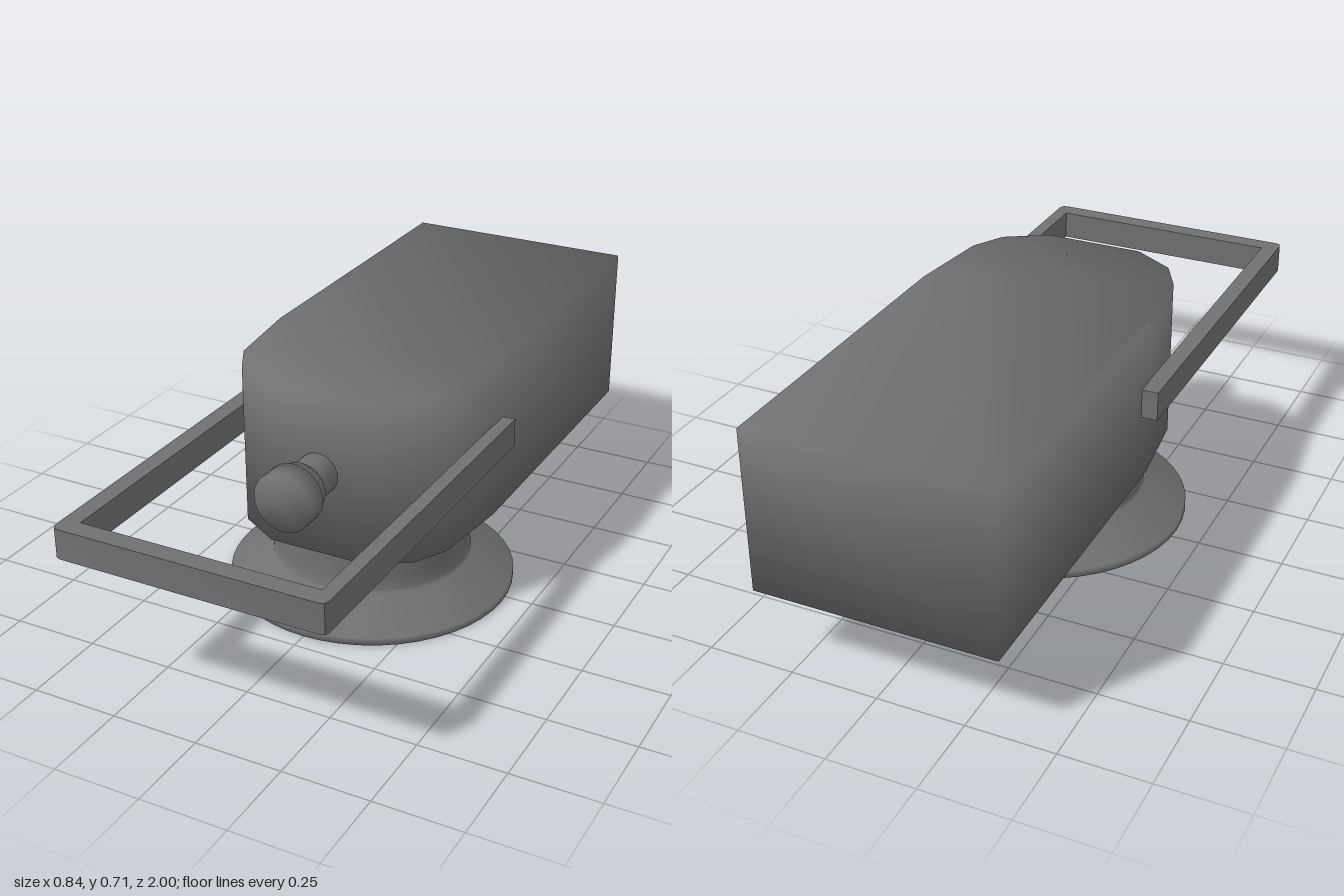
import * as THREE from 'three';
import { mergeVertices, toCreasedNormals } from 'three/addons/utils/BufferGeometryUtils.js';

const grey = new THREE.MeshStandardMaterial({ color: 0x707070 });
const tan = new THREE.MeshStandardMaterial({ color: 0xf0e0cc });

// Extrudes a plan outline given as [x, z] points upward from y to y + height.
function extrudePlan(points, y, height) {
  const shape = new THREE.Shape(points.map(([x, z]) => new THREE.Vector2(x, -z)));
  const geo = new THREE.ExtrudeGeometry(shape, { depth: height, bevelEnabled: false });
  return geo.rotateX(-Math.PI / 2).translate(0, y, 0);
}

// Shares every vertex so the shading flows over all edges.
function smooth(geo) {
  geo.deleteAttribute('uv');
  geo.deleteAttribute('normal');
  const merged = mergeVertices(geo, 1e-4);
  merged.computeVertexNormals();
  return merged;
}

// Points each shared normal away from the middle, for even shading all round.
function radialNormals(geo, midY) {
  const { position, normal } = geo.attributes;
  const n = new THREE.Vector3();
  for (let i = 0; i < position.count; i++) {
    n.set(position.getX(i) * 2.2, Math.sign(position.getY(i) - midY), 0);
    n.z = position.getZ(i) * (position.getZ(i) < 0 ? 0.7 : 2.2);
    n.normalize();
    normal.setXYZ(i, n.x, n.y, n.z);
  }
  return geo;
}

export function createModel() {
  const model = new THREE.Group();
  const add = (name, geo, material = grey) => {
    const mesh = new THREE.Mesh(geo, material);
    mesh.name = name;
    model.add(mesh);
    return mesh;
  };

  // Housing: square at the back, faceted round at the front
  const side = [[0.347, -1], [0.347, -0.05], [0.317, 0.2], [0.265, 0.295], [0.145, 0.367]];
  const mirrored = side.map(([x, z]) => [-x, z]).reverse();
  add('housing', radialNormals(smooth(extrudePlan([...side, ...mirrored], 0.23, 0.476)), 0.468));

  // Bail handle: U-shaped strap with slightly rounded front corners
  const c = 0.018;
  add('handle', toCreasedNormals(extrudePlan([
    [-0.394, -0.1], [-0.394, 1 - c], [-0.389, 0.995], [-0.394 + c, 1],
    [0.384 - c, 1], [0.379, 0.995], [0.384, 1 - c], [0.384, -0.1],
    [0.345, -0.1], [0.345, 0.945], [-0.345, 0.945], [-0.345, -0.1],
  ], 0.435, 0.086), 0.5));

  // Pedestal: flared foot, hollow cone underneath with a recess for the screw
  const profile = [
    [0, 0.12], [0.095, 0.12], [0.095, 0.095], [0.39, 0.012], [0.405, 0], [0.418, 0.001],
    [0.418, 0.023], [0.292, 0.088], [0.29, 0.102], [0.281, 0.125], [0.281, 0.22], [0.281, 0.232], [0, 0.232],
  ].map(([r, y]) => new THREE.Vector2(r, y));
  const base = add('pedestal', new THREE.LatheGeometry(profile, 48));
  base.position.z = 0.033;

  // Screw head inside the foot
  const screw = add('screwHead', smooth(new THREE.CylinderGeometry(0.083, 0.083, 0.03, 32)), tan);
  screw.position.set(0, 0.113, 0.033);

  // Knob: stem, collar and cap along z
  const knob = new THREE.Group();
  knob.name = 'knob';
  knob.position.set(0.01, 0.477, 0);
  for (const [name, radius, z0, z1] of [
    ['knobStem', 0.06, 0.34, 0.46],
    ['knobCollar', 0.072, 0.455, 0.5],
    ['knobCap', 0.087, 0.495, 0.557],
  ]) {
    const geo = new THREE.CylinderGeometry(radius, radius, z1 - z0, 32).rotateX(Math.PI / 2);
    const mesh = new THREE.Mesh(smooth(geo), grey);
    mesh.name = name;
    mesh.position.z = (z0 + z1) / 2;
    knob.add(mesh);
  }
  model.add(knob);

  return model;
}
